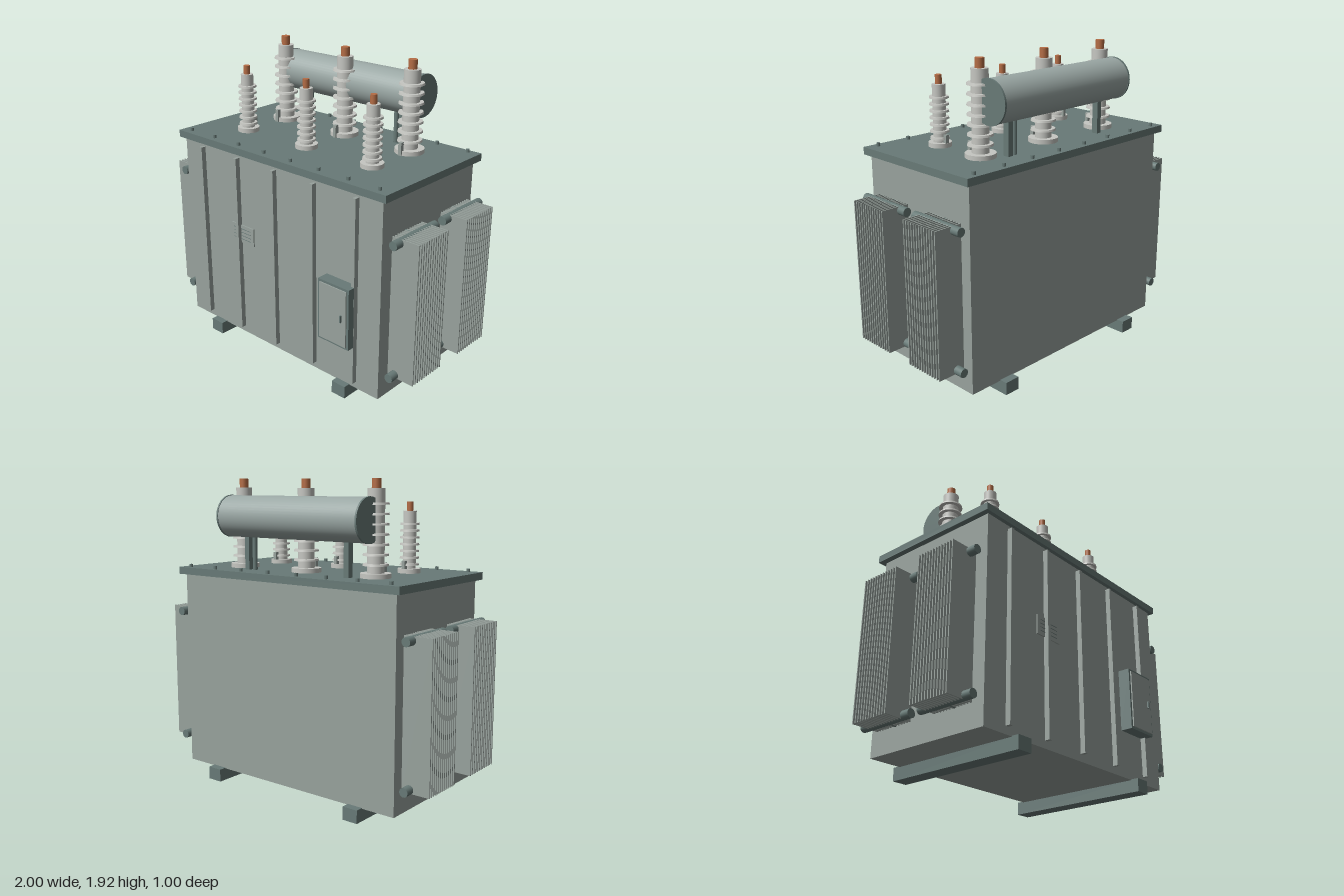
import * as THREE from 'three';

const mat = (name, color, side = THREE.FrontSide) => {
  const m = new THREE.MeshStandardMaterial({ color, side });
  m.name = name;
  return m;
};

export function createModel() {
  const tankGrey = mat('tank grey', 0x98a29d);
  const darkGrey = mat('dark grey green', 0x687a77);
  const drumGrey = mat('drum grey', 0x9aa7a4);
  const porcelain = mat('porcelain', 0xc6c7c2);
  const copper = mat('copper', 0xb56d45);

  const model = new THREE.Group();
  model.name = 'powerTransformer';

  const add = (parent, name, geo, material, x, y, z) => {
    const mesh = new THREE.Mesh(geo, material);
    mesh.name = name;
    mesh.position.set(x, y, z);
    parent.add(mesh);
    return mesh;
  };
  // Box given by its extents on each axis
  const box = (parent, name, material, [x0, x1], [y0, y1], [z0, z1]) =>
    add(parent, name, new THREE.BoxGeometry(x1 - x0, y1 - y0, z1 - z0), material,
      (x0 + x1) / 2, (y0 + y1) / 2, (z0 + z1) / 2);
  // Upright cylinder from y0 to y1
  const post = (parent, name, material, r, y0, y1, x, z, seg = 28, rTop = r) =>
    add(parent, name, new THREE.CylinderGeometry(rTop, r, y1 - y0, seg), material, x, (y0 + y1) / 2, z);
  const group = (name) => {
    const g = new THREE.Group();
    g.name = name;
    model.add(g);
    return g;
  };

  // Tank, lid and skids
  box(model, 'tank', tankGrey, [-0.81, 0.81], [0.075, 1.32], [-0.45, 0.405]);
  box(model, 'lid', darkGrey, [-0.845, 0.845], [1.32, 1.365], [-0.48, 0.43]);
  for (const s of [-1, 1])
    box(model, 'skid', darkGrey, [s * 0.545 - 0.05, s * 0.545 + 0.05], [0, 0.08], [-0.5, 0.45]);

  // Stiffening ribs on the front
  for (let i = -2; i <= 2; i++)
    box(model, 'rib', tankGrey, [i * 0.3175 - 0.011, i * 0.3175 + 0.011], [0.12, 1.295], [0.4, 0.437]);

  // Lid bolts
  for (let i = 0; i < 8; i++)
    for (const z of [-0.445, 0.387])
      post(model, 'lidBolt', darkGrey, 0.011, 1.36, 1.385, -0.77 + i * 0.22, z, 8);

  // Rating plate with engraved rules
  const plate = group('ratingPlate');
  box(plate, 'plate', tankGrey, [-0.395, -0.195], [0.73, 0.85], [0.405, 0.413]);
  for (let i = 0; i < 4; i++)
    box(plate, 'rule', darkGrey, [-0.37, -0.22], [0.755 + i * 0.023, 0.758 + i * 0.023], [0.412, 0.415]);

  // Control cabinet
  const cabinet = group('controlCabinet');
  box(cabinet, 'cabinetBody', darkGrey, [0.413, 0.645], [0.367, 0.757], [0.4, 0.481]);
  box(cabinet, 'cabinetDoor', tankGrey, [0.428, 0.63], [0.382, 0.742], [0.48, 0.489]);
  box(cabinet, 'cabinetHandle', darkGrey, [0.591, 0.6], [0.54, 0.585], [0.488, 0.5]);

  // Radiator banks: two on each side, fins between a top and a bottom header
  for (const s of [-1, 1])
    for (const zc of [0.197, -0.257]) {
      const bank = group('radiatorBank');
      for (const y of [0.236, 1.07]) {
        const header = add(bank, 'header', new THREE.CylinderGeometry(0.027, 0.027, 0.385, 20), darkGrey, s * 0.87, y, zc);
        header.rotation.x = Math.PI / 2;
        const stub = add(bank, 'headerStub', new THREE.CylinderGeometry(0.02, 0.02, 0.07, 16), darkGrey, s * 0.835, y, zc);
        stub.rotation.z = Math.PI / 2;
      }
      for (let i = -6; i <= 6; i++) {
        const z = zc + i * 0.0218;
        add(bank, 'fin', new THREE.BoxGeometry(0.18, 0.88, 0.007), tankGrey, s * 0.91, 0.654, z);
      }
    }

  // Oil conservator drum on its supports
  const conservator = group('conservator');
  const drum = add(conservator, 'drum', new THREE.CylinderGeometry(0.128, 0.128, 1.05, 48), drumGrey, 0, 1.692, -0.31);
  drum.rotation.z = Math.PI / 2;
  for (const s of [-1, 1]) {
    const cap = add(conservator, 'drumEnd', new THREE.CylinderGeometry(0.131, 0.131, 0.012, 48), darkGrey, s * 0.529, 1.692, -0.31);
    cap.rotation.z = Math.PI / 2;
    box(conservator, 'drumSupport', darkGrey, [s * 0.385 - 0.017, s * 0.385 + 0.017], [1.36, 1.59], [-0.33, -0.29]);
  }
  post(conservator, 'oilPipe', darkGrey, 0.015, 1.36, 1.59, 0.336, -0.31, 16);

  // Bushings: flange, core, stacked sheds, terminal and a small arcing horn
  const bushing = (name, x, z, p) => {
    const g = group(name);
    post(g, 'flange', porcelain, p.flange, 1.365, 1.392, x, z, 32);
    post(g, 'core', porcelain, p.core, 1.39, p.coreTop, x, z);
    for (let i = 0; i < p.sheds; i++) {
      const y = p.shed0 + i * p.pitch;
      post(g, 'shed', porcelain, p.shed, y - 0.006, y + 0.006, x, z, 32, p.shed * 0.96);
    }
    post(g, 'terminal', copper, p.pin, p.coreTop - 0.01, p.top, x, z, 16);
    box(g, 'horn', tankGrey, [x - 0.011, x + 0.011], [1.365, p.hornTop],
      [z + p.hornZ - 0.012, z + p.hornZ + 0.012]);
  };
  const high = { flange: 0.09, core: 0.05, coreTop: 1.866, sheds: 7, shed0: 1.44, pitch: 0.057,
    shed: 0.076, pin: 0.027, top: 1.922, hornZ: 0.085, hornTop: 1.445 };
  const low = { flange: 0.069, core: 0.039, coreTop: 1.733, sheds: 7, shed0: 1.417, pitch: 0.04,
    shed: 0.058, pin: 0.02, top: 1.787, hornZ: -0.055, hornTop: 1.44 };
  for (const x of [-0.51, 0, 0.51]) {
    bushing('highVoltageBushing', x, -0.217, high);
    bushing('lowVoltageBushing', x, 0.133, low);
  }

  return model;
}
